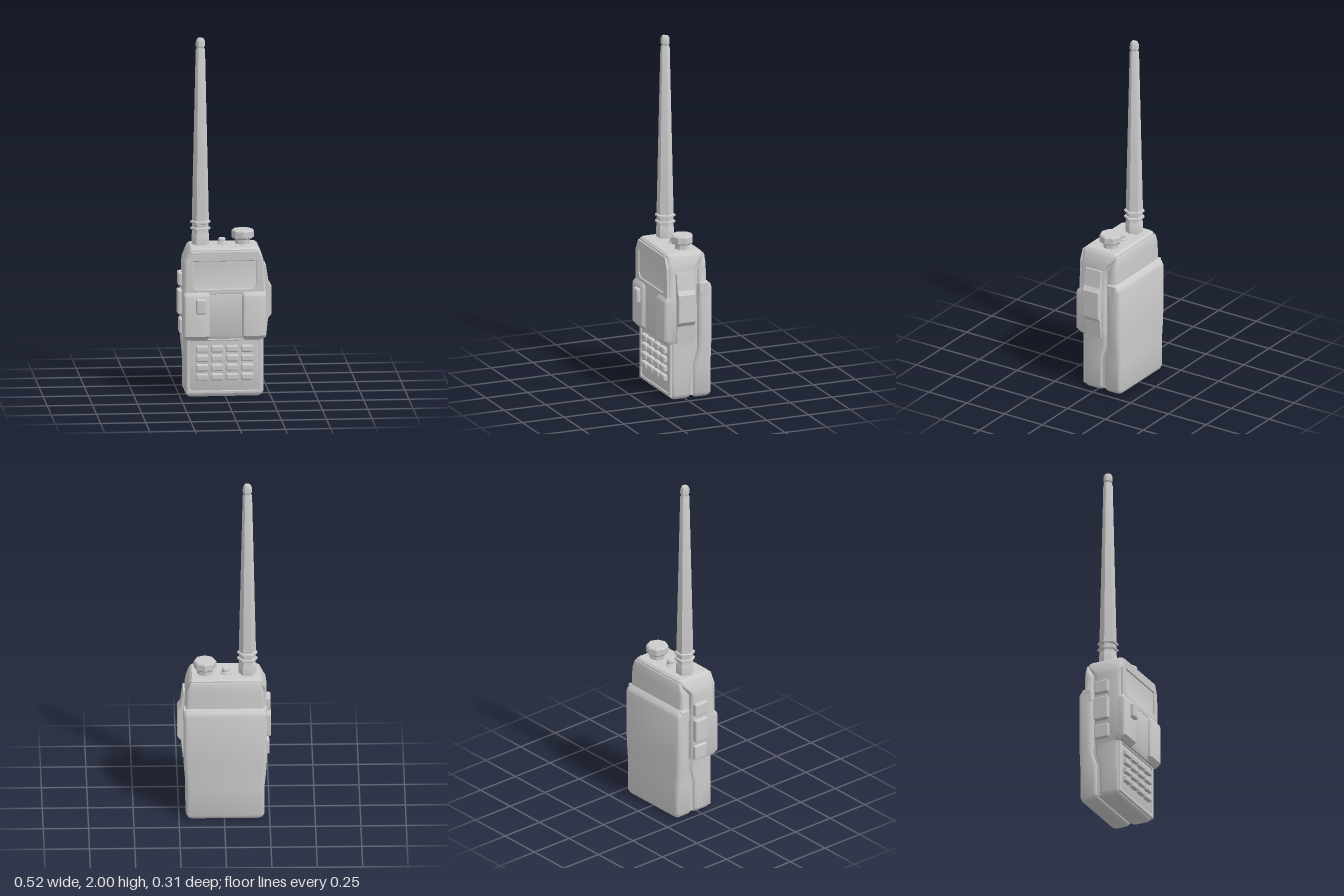
import * as THREE from 'three';
import { toCreasedNormals } from 'three/addons/utils/BufferGeometryUtils.js';
import { RoundedBoxGeometry } from 'three/addons/geometries/RoundedBoxGeometry.js';

const material = new THREE.MeshStandardMaterial({ color: 0xcccccc });

// Closed hull through rounded rectangles stacked along y: [y, x0, x1, zBack, zFront, corner]
function loft(sections, steps = 3) {
  const pos = [], index = [], n = 4 * (steps + 1);
  for (const [y, x0, x1, z0, z1, c] of sections) {
    const corners = [[x1 - c, z1 - c], [x1 - c, z0 + c], [x0 + c, z0 + c], [x0 + c, z1 - c]];
    corners.forEach(([cx, cz], q) => {
      for (let s = 0; s <= steps; s++) {
        const a = (q + s / steps) * Math.PI / 2;
        pos.push(cx + c * Math.sin(a), y, cz + c * Math.cos(a));
      }
    });
  }
  const last = (sections.length - 1) * n;
  for (let j = 0; j < n; j++) {
    const k = (j + 1) % n;
    for (let i = 0; i < last; i += n) {
      index.push(i + j, i + k, i + n + k, i + j, i + n + k, i + n + j);
    }
    if (j > 0 && j < n - 1) index.push(0, j + 1, j, last, last + j, last + j + 1);
  }
  const g = new THREE.BufferGeometry();
  g.setAttribute('position', new THREE.Float32BufferAttribute(pos, 3));
  g.setIndex(index);
  return toCreasedNormals(g, 0.6);
}

const points = (list) => list.map(([x, y]) => new THREE.Vector2(x, y));

// Bevelled plate with an optional window, its front face at zFront
function plate(outline, hole, zFront, depth, bevel) {
  const shape = new THREE.Shape(points(outline));
  if (hole) shape.holes.push(new THREE.Path(points(hole)));
  const g = new THREE.ExtrudeGeometry(shape, {
    depth: depth - bevel, bevelThickness: bevel, bevelSize: bevel, bevelOffset: -bevel, bevelSegments: 2,
  });
  return g.translate(0, 0, zFront - depth);
}

function roundBox(x0, x1, y0, y1, z0, z1, r) {
  return new RoundedBoxGeometry(x1 - x0, y1 - y0, z1 - z0, 2, r)
    .translate((x0 + x1) / 2, (y0 + y1) / 2, (z0 + z1) / 2);
}

const lathe = (profile, sides) => toCreasedNormals(new THREE.LatheGeometry(points(profile), sides), 0.5);

export function createModel() {
  const model = new THREE.Group();
  const add = (name, geometry, parent = model) => {
    const mesh = new THREE.Mesh(geometry, material);
    mesh.name = name;
    parent.add(mesh);
    return mesh;
  };
  const group = (name) => {
    const g = new THREE.Group();
    g.name = name;
    model.add(g);
    return g;
  };

  // Main body: narrow keypad half, wider shell above, tapered shoulders
  add('body', loft([
    [0.004, -0.2, 0.19, -0.02, 0.07, 0.015],
    [0.012, -0.212, 0.202, -0.03, 0.08, 0.02],
    [0.03, -0.222, 0.212, -0.035, 0.087, 0.02],
    [0.2, -0.222, 0.212, -0.035, 0.087, 0.02],
    [0.28, -0.222, 0.212, -0.06, 0.087, 0.02],
    [0.33, -0.222, 0.212, -0.06, 0.087, 0.02],
    [0.332, -0.222, 0.212, -0.06, 0.103, 0.02],
    [0.36, -0.235, 0.224, -0.06, 0.113, 0.025],
    [0.59, -0.235, 0.224, -0.06, 0.113, 0.025],
    [0.6, -0.235, 0.222, -0.06, 0.107, 0.025],
    [0.745, -0.235, 0.215, -0.06, 0.107, 0.025],
    [0.775, -0.23, 0.21, -0.08, 0.107, 0.025],
    [0.815, -0.208, 0.197, -0.112, 0.107, 0.025],
    [0.832, -0.2, 0.189, -0.112, 0.105, 0.02],
    [0.843, -0.188, 0.177, -0.1, 0.093, 0.015],
  ]));

  // Raised frame around the display
  add('displayFrame', plate(
    [[-0.222, 0.585], [0.212, 0.585], [0.206, 0.765], [0.18, 0.825], [-0.19, 0.825], [-0.222, 0.765]],
    [[-0.165, 0.615], [-0.18, 0.64], [-0.18, 0.77], [0.17, 0.77], [0.17, 0.64], [0.155, 0.615]],
    0.115, 0.014, 0.004));

  // Thick grips on both sides of the recessed speaker panel
  for (const [x0, x1] of [[-0.234, -0.088], [0.09, 0.223]]) {
    add('frontGrip', loft([
      [0.328, x0 + 0.012, x1 - 0.012, 0.06, 0.112, 0.012],
      [0.352, x0, x1, 0.06, 0.133, 0.018],
      [0.57, x0, x1, 0.06, 0.133, 0.018],
      [0.582, x0, x1, 0.06, 0.128, 0.016],
      [0.6, x0 + 0.006, x1 - 0.006, 0.06, 0.112, 0.012],
    ]));
  }
  add('frontButton', roundBox(-0.167, -0.11, 0.48, 0.565, 0.11, 0.156, 0.011));

  // Keypad frame and keys
  add('keypadFrame', plate(
    [[-0.214, 0.022], [0.204, 0.022], [0.204, 0.33], [-0.214, 0.33]],
    [[-0.185, 0.04], [-0.195, 0.05], [-0.195, 0.31], [-0.185, 0.32],
      [0.175, 0.32], [0.185, 0.31], [0.185, 0.05], [0.175, 0.04]],
    0.094, 0.02, 0.004));
  const keypad = group('keypad');
  for (let row = 0; row < 4; row++) {
    for (let col = 0; col < 4; col++) {
      const x = -0.13 + col * 0.083, y = 0.118 + row * 0.0525;
      add('key', roundBox(x - 0.034, x + 0.034, y - 0.019, y + 0.019, 0.075, 0.11, 0.009), keypad);
    }
  }

  // Battery pack with a sloped step near its top
  add('battery', loft([
    [0.004, -0.2, 0.19, -0.14, -0.06, 0.015],
    [0.012, -0.212, 0.202, -0.15, -0.05, 0.02],
    [0.03, -0.222, 0.212, -0.156, -0.045, 0.025],
    [0.2, -0.222, 0.212, -0.156, -0.045, 0.025],
    [0.28, -0.23, 0.22, -0.156, -0.07, 0.025],
    [0.36, -0.235, 0.225, -0.156, -0.07, 0.025],
    [0.635, -0.235, 0.225, -0.156, -0.07, 0.025],
    [0.652, -0.233, 0.223, -0.15, -0.07, 0.025],
    [0.672, -0.222, 0.212, -0.128, -0.07, 0.02],
    [0.745, -0.22, 0.21, -0.126, -0.07, 0.02],
    [0.775, -0.216, 0.206, -0.125, -0.088, 0.015],
    [0.815, -0.2, 0.19, -0.122, -0.105, 0.008],
    [0.825, -0.196, 0.186, -0.118, -0.108, 0.004],
  ]));

  // Core closing the seam between body and battery
  add('seamCore', loft([
    [0.02, -0.208, 0.198, -0.07, -0.01, 0.005],
    [0.2, -0.208, 0.198, -0.07, -0.01, 0.005],
    [0.28, -0.21, 0.2, -0.1, -0.03, 0.005],
    [0.745, -0.208, 0.198, -0.1, -0.03, 0.005],
    [0.81, -0.19, 0.18, -0.115, -0.07, 0.005],
  ]));
  add('rightLatch', roundBox(-0.235, -0.2, 0.595, 0.668, -0.132, -0.075, 0.006));
  add('leftLatch', roundBox(0.19, 0.226, 0.595, 0.668, -0.132, -0.075, 0.006));

  // Three buttons on the right side
  for (const [y0, y1, x] of [[0.62, 0.695, -0.257], [0.46, 0.595, -0.26], [0.35, 0.435, -0.25]]) {
    add('sideButton', roundBox(x, -0.2, y0, y1, -0.05, 0.037, 0.008));
  }

  // Accessory port cover on the left side
  add('portCover', plate(
    [[0.18, 0.33], [0.227, 0.33], [0.238, 0.435], [0.258, 0.46], [0.258, 0.615],
      [0.241, 0.64], [0.226, 0.738], [0.18, 0.738]], null, 0.064, 0.1, 0.004));

  // Six-sided antenna with two collar rings and a slim tip
  const antenna = add('antenna', lathe([
    [0, 0.83], [0.049, 0.83], [0.049, 0.9], [0.046, 0.905], [0.046, 0.925],
    [0.057, 0.927], [0.057, 0.937], [0.046, 0.94], [0.046, 0.96],
    [0.057, 0.963], [0.057, 0.973], [0.047, 0.977], [0.047, 1.0],
    [0.026, 1.935], [0.021, 1.945], [0.021, 1.95], [0.026, 1.955],
    [0.025, 1.985], [0.018, 2.0], [0, 2.0],
  ], 6));
  antenna.rotation.y = Math.PI / 6;
  antenna.position.set(-0.129, 0, -0.023);

  // Indicator lamp and volume knob on top
  add('indicatorLamp', lathe([
    [0, 0.83], [0.028, 0.83], [0.028, 0.848], [0.021, 0.853], [0.021, 0.87], [0.016, 0.876], [0, 0.876],
  ], 12)).position.set(-0.01, 0, -0.023);
  add('volumeKnob', lathe([
    [0, 0.83], [0.042, 0.83], [0.042, 0.868], [0.056, 0.872], [0.063, 0.88],
    [0.063, 0.914], [0.056, 0.922], [0, 0.922],
  ], 8)).position.set(0.105, 0, -0.023);

  return model;
}
